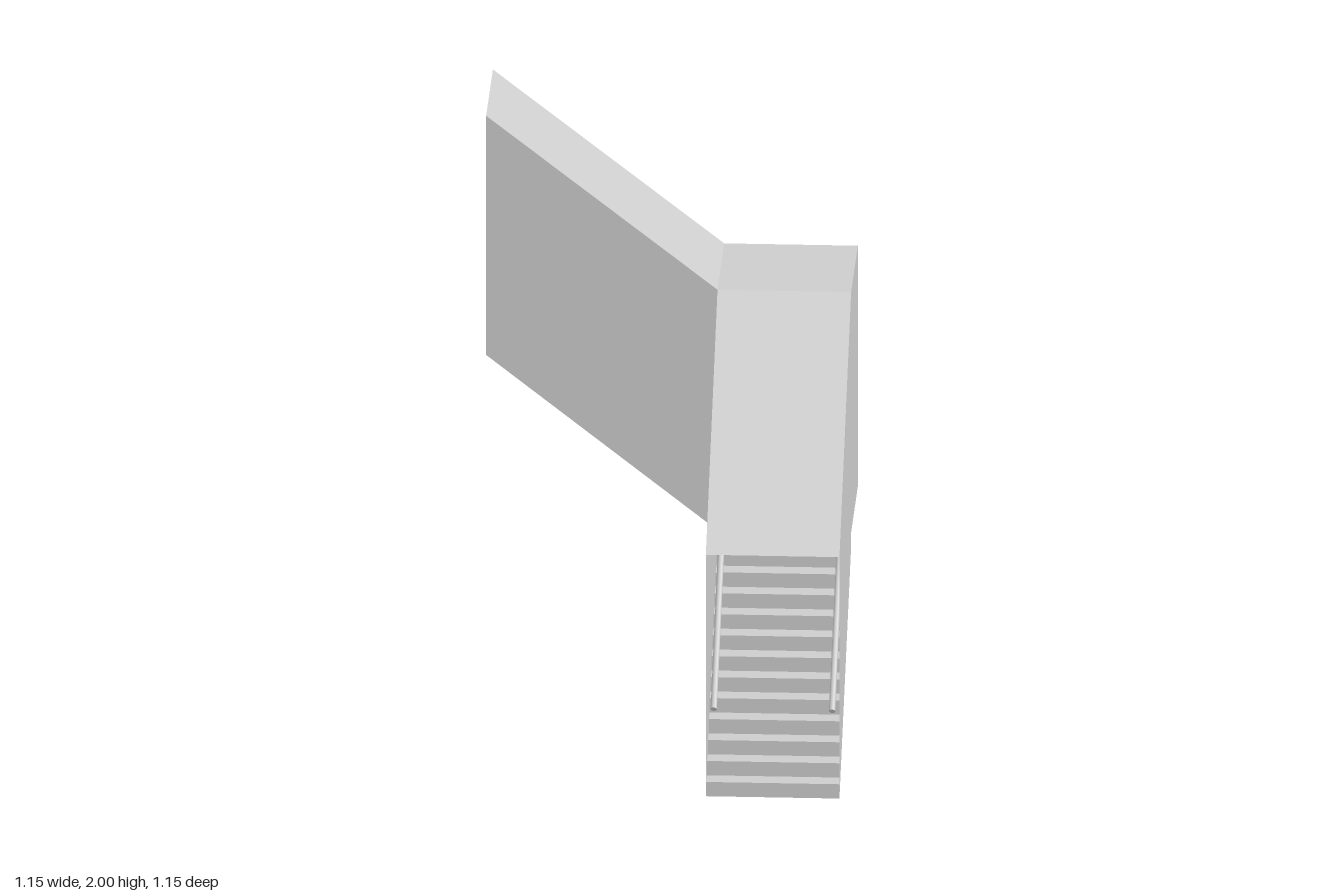
import * as THREE from 'three';

const W = 0.421, L = 0.729, H = 0.0479, STEPS = 12; // width, flight run, riser, treads
const HALF = 0.575, INNER = HALF - W, RUN = L / STEPS;
const RISE = STEPS * H, LANDING = RISE + H, ROOF = 1.43;

const concrete = new THREE.MeshStandardMaterial({ color: 0xcccccc, side: THREE.DoubleSide });

// Flat convex quads, each given as four corners counter-clockwise from outside
function panels(name, quads) {
  const pos = [];
  for (const [a, b, c, d] of quads) pos.push(...a, ...b, ...c, ...a, ...c, ...d);
  const geo = new THREE.BufferGeometry();
  geo.setAttribute('position', new THREE.Float32BufferAttribute(pos, 3));
  geo.computeVertexNormals();
  const mesh = new THREE.Mesh(geo, concrete);
  mesh.name = name;
  return mesh;
}

// Round rail between two points
function rail(name, from, to) {
  const a = new THREE.Vector3(...from), b = new THREE.Vector3(...to);
  const dir = b.clone().sub(a);
  const mesh = new THREE.Mesh(new THREE.CylinderGeometry(0.01, 0.01, dir.length(), 12), concrete);
  mesh.position.copy(a).add(b).multiplyScalar(0.5);
  mesh.quaternion.setFromUnitVectors(new THREE.Vector3(0, 1, 0), dir.normalize());
  mesh.name = name;
  return mesh;
}

// Enclosed flight climbing towards -z from the origin; roof heights at both ends
function flight(name, roofStart, roofEnd, railFrom, railTo) {
  const g = new THREE.Group();
  g.name = name;
  const x = W / 2;

  // Folded stair: thin risers and treads
  const stair = [];
  for (let i = 0; i < STEPS; i++) {
    const z = -i * RUN, y = i * H, z2 = z - RUN, y2 = y + H;
    stair.push([[-x, y, z], [x, y, z], [x, y2, z], [-x, y2, z]]);
    stair.push([[-x, y2, z], [x, y2, z], [x, y2, z2], [-x, y2, z2]]);
  }
  g.add(panels('steps', stair));

  // Side walls and their handrails
  for (const s of [-1, 1]) {
    const wall = [[s * x, 0, 0], [s * x, RISE, -L], [s * x, roofEnd, -L], [s * x, roofStart, 0]];
    const side = s > 0 ? 'left' : 'right';
    g.add(panels(side + 'Wall', [s > 0 ? wall : wall.reverse()]));
    const rx = s * (x - 0.024), railY = (d) => 0.285 + (d - 0.02) * RISE / L;
    g.add(rail(side + 'Handrail', [rx, railY(railFrom), -railFrom], [rx, railY(railTo), -railTo]));
  }

  // Sloping roof
  g.add(panels('roof', [[[-x, roofStart, 0], [x, roofStart, 0], [x, roofEnd, -L], [-x, roofEnd, -L]]]));
  return g;
}

export function createModel() {
  const model = new THREE.Group();
  model.name = 'enclosedStaircase';
  const mid = HALF - W / 2;

  // Lower flight climbs to the back
  const lower = flight('lowerFlight', 0.81, ROOF, 0.02, L);
  lower.position.set(mid, 0, HALF);
  model.add(lower);

  // Upper flight turns a quarter and climbs to -x
  const upper = flight('upperFlight', ROOF - LANDING, 2 - LANDING, 0, L - 0.02);
  upper.rotation.y = Math.PI / 2;
  upper.position.set(INNER, LANDING, -mid);
  model.add(upper);

  // Corner landing, open towards both flights
  const a = INNER, b = HALF, f = -INNER, k = -HALF, y0 = LANDING, y1 = ROOF;
  const landing = new THREE.Group();
  landing.name = 'landing';
  landing.add(
    panels('landingFloor', [[[a, y0, k], [b, y0, k], [b, y0, f], [a, y0, f]]]),
    panels('landingRiser', [[[a, RISE, f], [b, RISE, f], [b, y0, f], [a, y0, f]]]),
    panels('landingRoof', [[[a, y1, f], [b, y1, f], [b, y1, k], [a, y1, k]]]),
    panels('landingLeftWall', [[[b, y0, f], [b, y0, k], [b, y1, k], [b, y1, f]]]),
    panels('landingBackWall', [[[b, y0, k], [a, y0, k], [a, y1, k], [b, y1, k]]])
  );
  model.add(landing);
  return model;
}
